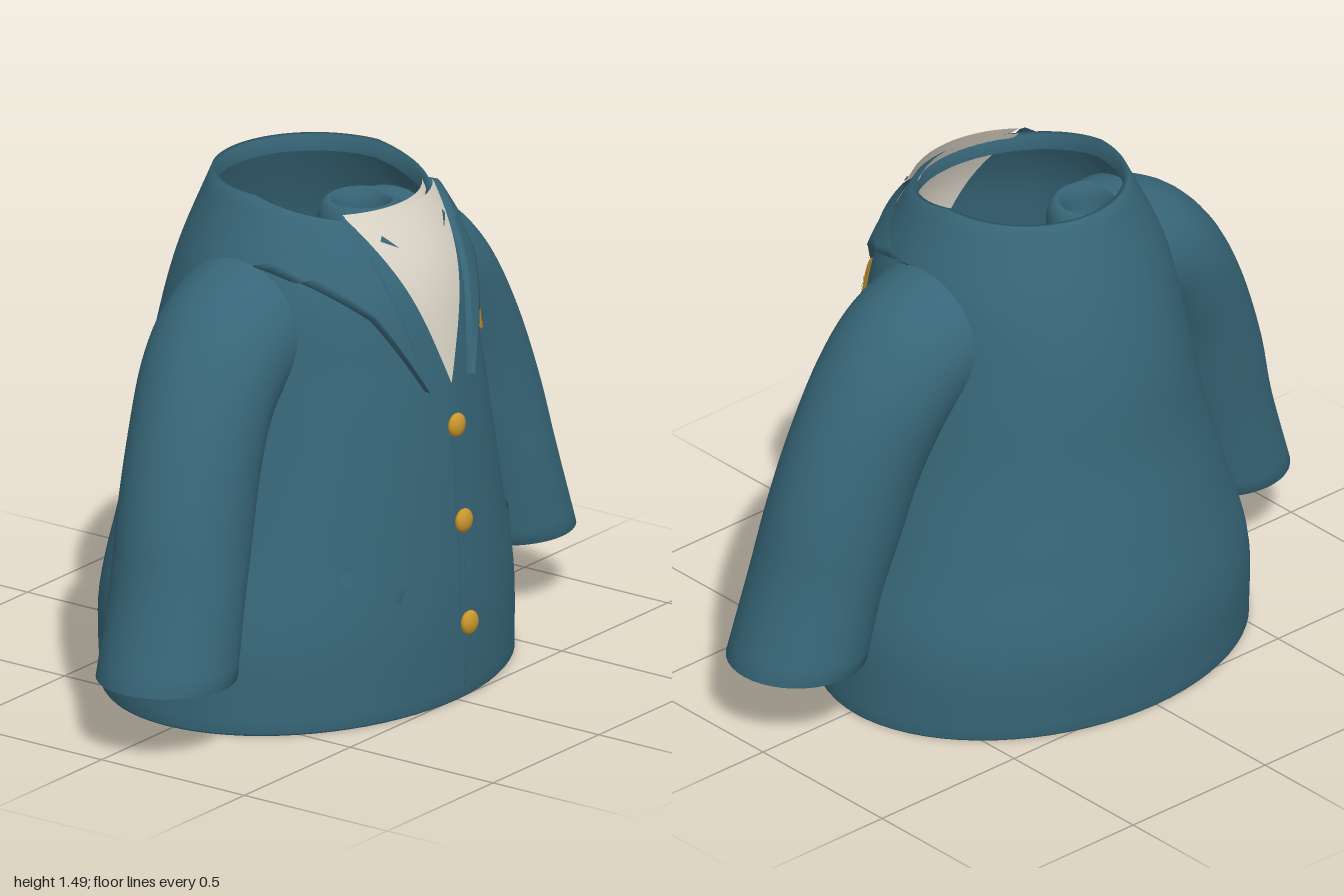
import * as THREE from 'three';

const mat = (name, color) => {
  const m = new THREE.MeshStandardMaterial({ color, side: THREE.DoubleSide });
  m.name = name;
  return m;
};
const V = (x, y, z = 0) => new THREE.Vector3(x, y, z);
const spline = (pts) => new THREE.CatmullRomCurve3(pts.map((p) => V(...p)), false, 'catmullrom', 0.5);

// Joins rows of points into one smooth surface
function loft(rows, closed) {
  const n = rows[0].length, index = [];
  for (let r = 0; r < rows.length - 1; r++) {
    for (let i = 0; i < (closed ? n : n - 1); i++) {
      const j = (i + 1) % n, a = r * n + i, b = r * n + j;
      index.push(a, b, b + n, a, b + n, a + n);
    }
  }
  const g = new THREE.BufferGeometry().setFromPoints(rows.flat());
  g.setIndex(index);
  g.computeVertexNormals();
  return g;
}

// Torso outline: half width, front z and back z at every 0.25 of height
const outline = spline([
  [0.67, 0.51, 0.55], [0.655, 0.517, 0.565], [0.585, 0.507, 0.525], [0.52, 0.49, 0.475],
  [0.465, 0.465, 0.44], [0.41, 0.42, 0.375], [0.285, 0.3, 0.28],
]);
function ellipseAt(y) {
  const p = outline.getPoint(THREE.MathUtils.clamp(y / 1.5, 0, 1));
  return { rx: p.x, rz: (p.y + p.z) / 2, cz: (p.y - p.z) / 2 };
}

// Point on the front of the torso, lifted outwards
function onFront(x, y, lift) {
  const { rx, rz, cz } = ellipseAt(y);
  const c = THREE.MathUtils.clamp(x / rx, -0.99, 0.99), s = Math.sqrt(1 - c * c);
  const n = V(c / rx, 0, s / rz).normalize();
  return V(c * rx + n.x * lift, y, cz + s * rz + n.z * lift);
}

// Cloth panel laid on the front between two edge lines; s mirrors it
function panel(edgeA, edgeB, lift, s = 1, nu = 12, nv = 20) {
  const at = (edge, t) => {
    const f = t * (edge.length - 1), i = Math.min(Math.floor(f), edge.length - 2), k = f - i;
    return [0, 1].map((c) => edge[i][c] * (1 - k) + edge[i + 1][c] * k);
  };
  const rows = [];
  for (let v = 0; v <= nv; v++) {
    const a = at(edgeA, v / nv), b = at(edgeB, v / nv), row = [];
    for (let u = 0; u <= nu; u++) {
      const k = u / nu;
      const h = typeof lift === 'function' ? lift(k) : lift;
      row.push(onFront(s * (a[0] + (b[0] - a[0]) * k), a[1] + (b[1] - a[1]) * k, h));
    }
    rows.push(row);
  }
  return loft(rows, false);
}

// Small round patch laid on the front
function disc(x, y, rx, ry, lift, turn = 0) {
  const g = new THREE.CircleGeometry(1, 24).scale(rx, ry, 1).rotateZ(turn).translate(x, y, 0);
  const p = g.attributes.position;
  for (let i = 0; i < p.count; i++) {
    const q = onFront(p.getX(i), p.getY(i), lift);
    p.setXYZ(i, q.x, q.y, q.z);
  }
  g.computeVertexNormals();
  return g;
}

export function createModel() {
  const group = new THREE.Group();
  group.name = 'jacket';
  const teal = mat('tealCloth', 0x376678);
  const cream = mat('creamShirt', 0xdcd6c8);
  const gold = mat('gold', 0xc8962e);
  const bronze = mat('darkGold', 0x6e5a28);
  const add = (name, geometry, material) => {
    const m = new THREE.Mesh(geometry, material);
    m.name = name;
    group.add(m);
    return m;
  };

  // Torso, open at hem and neck, with a turned-in neck edge
  const torsoRow = (t, inset, drop) => {
    const row = [];
    for (let i = 0; i < 72; i++) {
      const a = (-i / 72) * Math.PI * 2;
      const y = (1.485 - 0.065 * Math.max(0, Math.sin(a))) * t;
      const { rx, rz, cz } = ellipseAt(y);
      row.push(V((rx - inset) * Math.cos(a), y - drop, cz + (rz - inset) * Math.sin(a)));
    }
    return row;
  };
  const torso = [torsoRow(0, 0.02, -0.02), torsoRow(0, 0.006, 0)];
  for (let v = 0; v <= 40; v++) torso.push(torsoRow(0.005 + 0.995 * (v / 40), 0, 0));
  torso.push(torsoRow(1, 0.015, 0.002), torsoRow(1, 0.015, 0.05));
  add('torso', loft(torso, true), teal);

  // Sleeve sections: outer edge, inner edge, and z centre with z radius
  const outer = spline([[1, 0.21], [0.92, 0.47], [0.87, 0.68], [0.79, 0.9], [0.68, 1.1], [0.55, 1.24], [0.4, 1.315], [0.3, 1.325]]);
  const inner = spline([[0.6, 0.21], [0.555, 0.39], [0.495, 0.55], [0.45, 0.7], [0.41, 0.82], [0.37, 0.89], [0.32, 0.92], [0.25, 0.94]]);
  const depth = spline([[0.08, 0.2], [0.07, 0.195], [0.055, 0.193], [0.04, 0.195], [0.025, 0.205], [0.018, 0.212], [0.015, 0.215], [0.015, 0.2]]);
  for (const s of [1, -1]) {
    const side = s > 0 ? 'left' : 'right';
    const rows = [];
    for (let v = -1; v <= 36; v++) {
      const t = Math.max(v, 0) / 36, o = outer.getPoint(t), n = inner.getPoint(t), d = depth.getPoint(t);
      const k = v < 0 ? 0.95 : 1, row = [];
      for (let i = 0; i < 40; i++) {
        const a = (i / 40) * Math.PI * 2, c = Math.cos(a) * k;
        row.push(V(
          s * ((o.x + n.x) / 2 + ((o.x - n.x) / 2) * c),
          (o.y + n.y) / 2 + ((o.y - n.y) / 2) * c + (v < 0 ? 0.012 : 0),
          d.x + d.y * Math.sin(a) * k,
        ));
      }
      rows.push(row);
    }
    add(side + 'Sleeve', loft(rows, true), teal);

    // Rolled sleeve end inside the shoulder
    const roll = [[0.125, 1.08], [0.125, 1.27], [0.115, 1.31], [0.095, 1.325], [0.08, 1.31], [0.072, 1.27], [0.07, 1.15], [0, 1.14]];
    add(side + 'SleeveEnd', new THREE.LatheGeometry(roll.map((p) => new THREE.Vector2(...p)), 32), teal).position.set(s * 0.235, 0, -0.005);

    // Lapel and the collar leaf above it, with lifted edges
    const fold = (base, rise) => (k) => (k === 0 || k === 1 ? 0.002 : base + rise * k);
    add(side + 'Lapel', panel([[0.2, 1.445], [0.175, 1.28], [0.1, 0.945]], [[0.375, 1.31], [0.235, 1.17], [0.1, 0.94]], fold(0.016, 0.012), s), teal);
    add(side + 'Collar', panel([[0.2, 1.45], [0.19, 1.35]], [[0.385, 1.315], [0.36, 1.285]], fold(0.022, 0.014), s), teal);

    // Slanted pocket welt
    add(side + 'Pocket', panel([[0.215, 0.38], [0.235, 0.345]], [[0.38, 0.465], [0.395, 0.43]], fold(0.009, 0), s), teal);

    // Small slit on the shirt
    add(side + 'ShirtSlit', panel([[0.1, 1.352], [0.1, 1.352]], [[0.135, 1.392], [0.145, 1.378]], 0.018, s, 4, 2), teal);
  }

  // Shirt front and its inner face
  const vLeft = [[-0.2, 1.445], [0, 0.94]], vRight = [[0.2, 1.445], [0, 0.94]];
  add('shirtFront', panel(vLeft, vRight, 0.012), cream);
  add('shirtInside', panel(vLeft, vRight, -0.018), cream);

  // Front closure and buttons
  add('closure', panel([[-0.008, 0.83], [-0.008, 0.03]], [[0.008, 0.83], [0.008, 0.03]], (k) => (k === 0 || k === 1 ? 0.002 : 0.014)), teal);
  for (const [y, z] of [[0.82, 0.503], [0.54, 0.528], [0.24, 0.548]]) {
    const b = add('button', new THREE.SphereGeometry(1, 24, 16), gold);
    b.scale.set(0.034, 0.035, 0.019);
    b.position.set(0, y, z);
  }

  // Chest patch with leaf flecks and loose dots round its edge
  add('chestPatch', disc(0.257, 1.082, 0.063, 0.066, 0.012), gold);
  for (let i = 0; i < 9; i++) {
    const a = i * 2.4, r = 0.014 * Math.sqrt(i);
    add('patchFleck', disc(0.257 + r * Math.cos(a), 1.082 + r * Math.sin(a), 0.011, 0.004, 0.015, a), bronze);
  }
  for (let i = 0; i < 12; i++) {
    const a = -1.5 + i * 0.27, r = 0.07 + 0.012 * (i % 3);
    add('patchDot', disc(0.257 + r * Math.cos(a), 1.082 + r * Math.sin(a), 0.008, 0.004, 0.012, a), gold);
  }
  return group;
}
